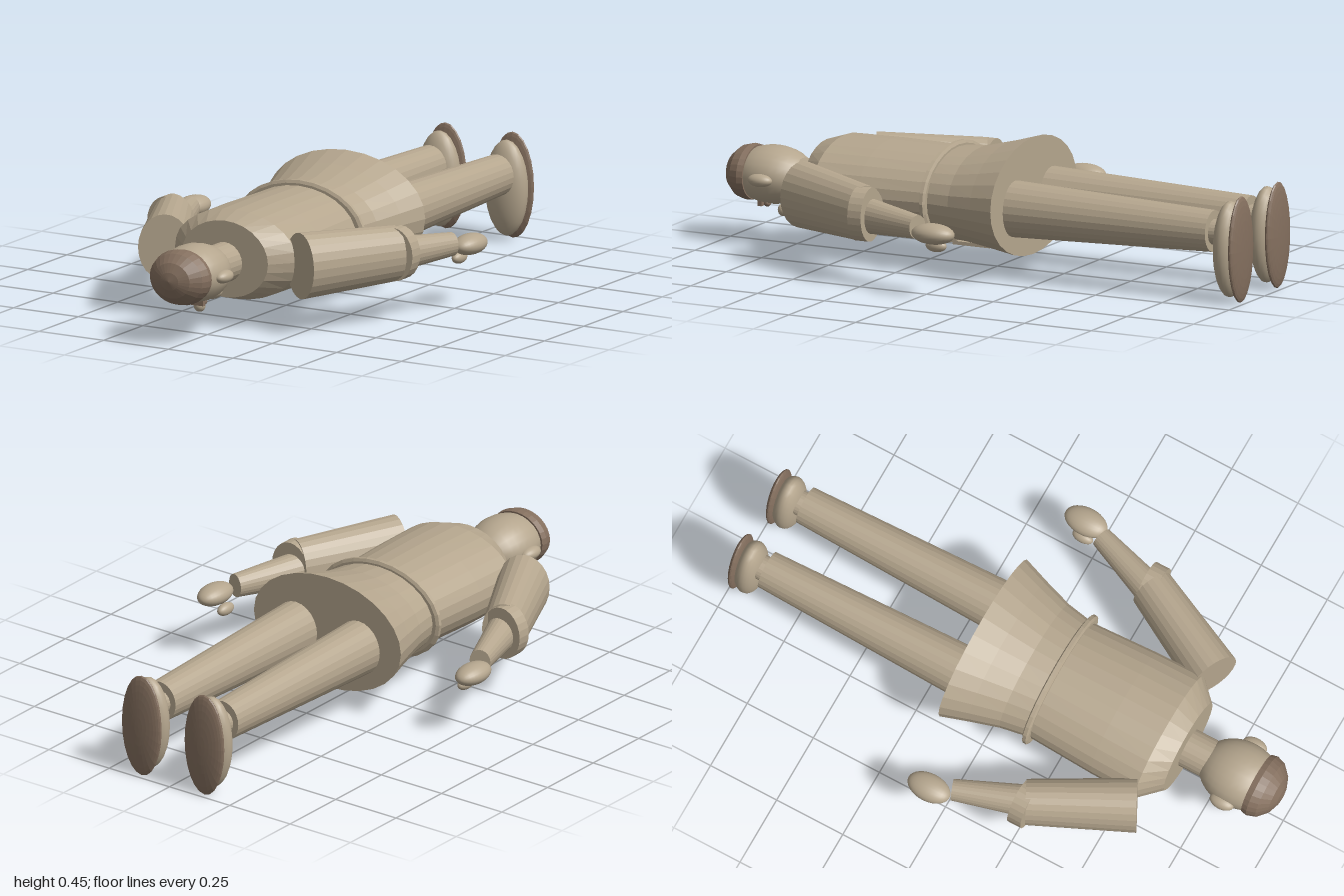
import * as THREE from 'three';

export function createModel() {
  const root = new THREE.Group();
  const tan = new THREE.MeshStandardMaterial({ color: 0xb5a68e, flatShading: true });
  const brown = new THREE.MeshStandardMaterial({ color: 0x85705f, flatShading: true });
  const smoothTan = new THREE.MeshStandardMaterial({ color: 0xb5a68e });
  smoothTan.name = 'tan smooth';
  tan.name = 'tan';
  brown.name = 'brown';

  function add(name, geo, mat) {
    const mesh = new THREE.Mesh(geo, mat);
    mesh.name = name;
    root.add(mesh);
    return mesh;
  }

  // ellipsoid with centre c and radii r, its pole along z
  function ball(name, c, r, mat = smoothTan) {
    const g = new THREE.SphereGeometry(1, 24, 16);
    g.rotateX(Math.PI / 2).scale(...r).translate(...c);
    return add(name, g, mat);
  }

  // tapered limb from a to b in a level plane; flat squeezes it sideways
  function limb(name, a, b, ra, rb, flat = 1, mat = tan) {
    const dx = b[0] - a[0], dz = b[2] - a[2];
    const g = new THREE.CylinderGeometry(rb, ra, Math.hypot(dx, dz), 24);
    g.scale(flat, 1, 1).rotateX(Math.PI / 2).rotateY(Math.atan2(dx, dz));
    g.translate((a[0] + b[0]) / 2, (a[1] + b[1]) / 2, (a[2] + b[2]) / 2);
    return add(name, g, mat);
  }

  // closed body through elliptical rings [z, rx, ry, centreY], z rising
  function loft(name, rings, mat = tan) {
    const n = rings.length - 1;
    const g = new THREE.CylinderGeometry(1, 1, 1, 28, n);
    g.rotateX(Math.PI / 2);
    const p = g.attributes.position;
    for (let i = 0; i < p.count; i++) {
      const [z, rx, ry, cy] = rings[Math.round((p.getZ(i) + 0.5) * n)];
      p.setXYZ(i, p.getX(i) * rx, p.getY(i) * ry + cy, z);
    }
    g.computeVertexNormals();
    return add(name, g, mat);
  }

  // tunic with flared skirt and sloping shoulders
  loft('tunic', [
    [-0.135, 0.305, 0.198, 0.253],
    [-0.04, 0.272, 0.177, 0.246],
    [0.06, 0.24, 0.158, 0.24],
    [0.16, 0.222, 0.15, 0.239],
    [0.4, 0.234, 0.154, 0.237],
    [0.57, 0.238, 0.151, 0.237],
    [0.64, 0.167, 0.13, 0.235],
  ]);

  // belt and its hanging end
  loft('belt', [
    [0.145, 0.238, 0.158, 0.239],
    [0.15, 0.249, 0.168, 0.239],
    [0.162, 0.249, 0.168, 0.239],
    [0.167, 0.238, 0.158, 0.239],
  ]);
  add('beltEnd', new THREE.BoxGeometry(0.025, 0.012, 0.14).translate(0, 0.066, 0.092), tan);

  // neck, head and face
  limb('neck', [0, 0.225, 0.6], [0, 0.225, 0.74], 0.067, 0.067);
  ball('head', [0, 0.227, 0.835], [0.115, 0.098, 0.142]);
  ball('chin', [0, 0.148, 0.733], [0.045, 0.03, 0.028]);
  ball('nose', [0, 0.11, 0.8], [0.02, 0.022, 0.02]);
  add('brow', new THREE.BoxGeometry(0.11, 0.022, 0.014).translate(0, 0.137, 0.862), brown);
  loft('cap', [
    [0.9, 0.108, 0.091, 0.228],
    [0.92, 0.112, 0.094, 0.228],
    [0.95, 0.102, 0.086, 0.228],
    [0.98, 0.07, 0.06, 0.228],
    [0.994, 0.035, 0.03, 0.228],
    [1.0, 0.001, 0.001, 0.228],
  ], brown);

  for (const s of [-1, 1]) {
    const side = s > 0 ? 'left' : 'right';
    ball(side + 'Ear', [s * 0.112, 0.227, 0.83], [0.027, 0.022, 0.044]);
    ball(side + 'Eye', [s * 0.04, 0.136, 0.84], [0.012, 0.012, 0.012], brown);

    // arm: wide sleeve, cuff, forearm and hand
    limb(side + 'Sleeve', [s * 0.262, 0.233, 0.592], [s * 0.43, 0.233, 0.265], 0.112, 0.094, 0.79);
    limb(side + 'Cuff', [s * 0.438, 0.233, 0.24], [s * 0.438, 0.233, 0.29], 0.091, 0.091, 0.83);
    limb(side + 'Forearm', [s * 0.425, 0.226, 0.26], [s * 0.508, 0.226, 0.03], 0.06, 0.04, 0.9);
    ball(side + 'Hand', [s * 0.535, 0.215, -0.043], [0.048, 0.035, 0.077]);
    ball(side + 'Thumb', [s * 0.498, 0.167, -0.035], [0.02, 0.021, 0.038]);

    // leg: tapered trouser, ankle, shoe and sole
    limb(side + 'Leg', [s * 0.13, 0.235, -0.1], [s * 0.13, 0.23, -0.88], 0.096, 0.07, 0.92);
    limb(side + 'Ankle', [s * 0.13, 0.23, -0.85], [s * 0.13, 0.23, -0.94], 0.043, 0.043);
    ball(side + 'Shoe', [s * 0.13, 0.178, -0.94], [0.078, 0.163, 0.05]);
    ball(side + 'Sole', [s * 0.13, 0.18, -0.98], [0.081, 0.18, 0.02], brown);
  }
  return root;
}
